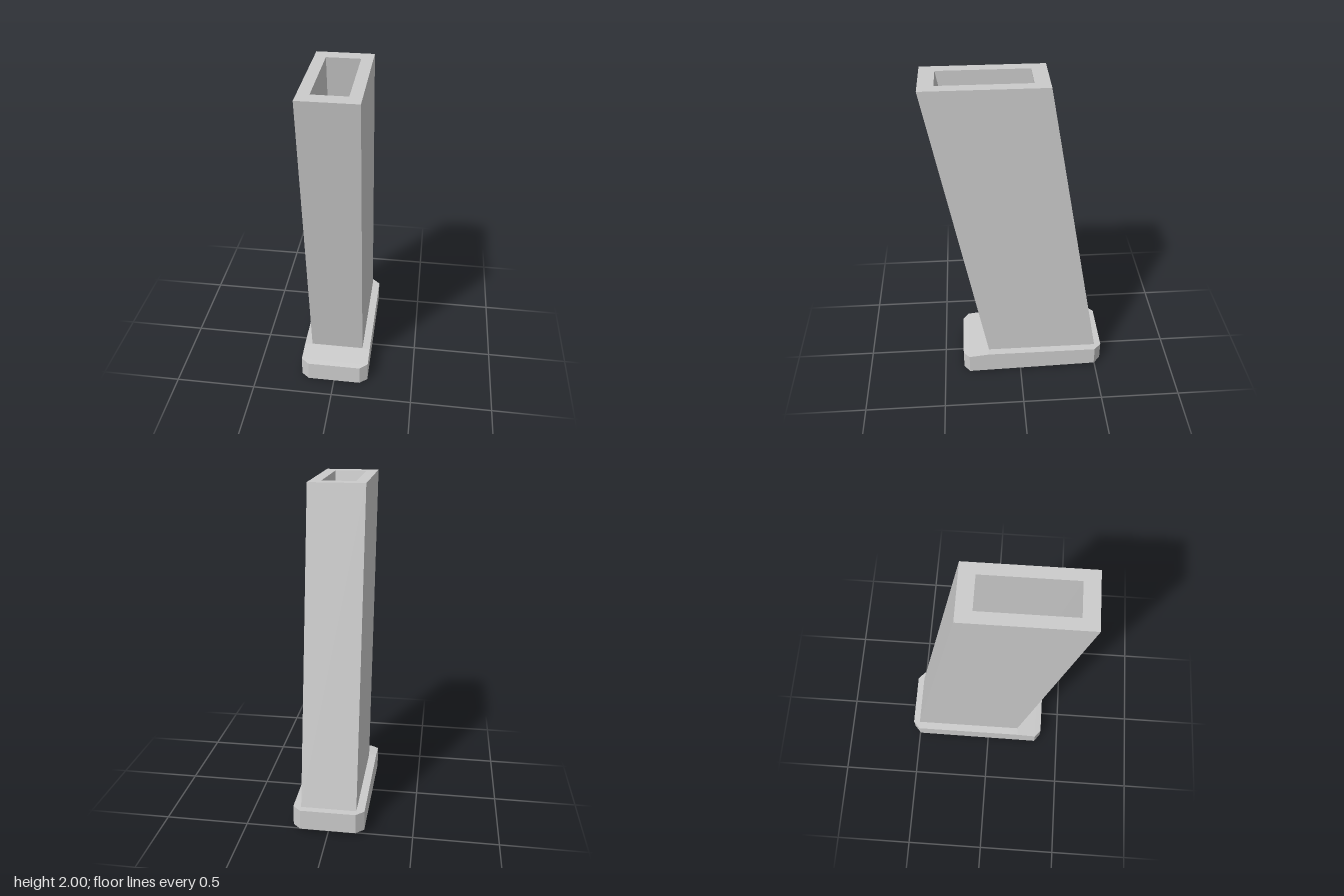
import * as THREE from 'three';

const material = new THREE.MeshStandardMaterial({ color: 0xcccccc, flatShading: true });

// Skins a sequence of four-cornered rings and caps both ends.
function loft(name, rings) {
  const positions = [];
  const quad = (a, b, c, d) => positions.push(...a, ...b, ...c, ...a, ...c, ...d);
  for (let r = 0; r < rings.length - 1; r++) {
    const lo = rings[r], hi = rings[r + 1];
    for (let i = 0; i < 4; i++) {
      const j = (i + 1) % 4;
      quad(lo[i], lo[j], hi[j], hi[i]);
    }
  }
  quad(...[...rings[0]].reverse());
  quad(...rings[rings.length - 1]);
  const geometry = new THREE.BufferGeometry();
  geometry.setAttribute('position', new THREE.Float32BufferAttribute(positions, 3));
  geometry.computeVertexNormals();
  const mesh = new THREE.Mesh(geometry, material);
  mesh.name = name;
  return mesh;
}

// Horizontal ring, leaning forward with height; back and front are z at the top.
const TOP = 2, SEAT = 0.145, LEAN = 0.331 / (TOP - SEAT);
function levelRing(y, halfWidth, back, front) {
  const shift = (y - TOP) * LEAN;
  return [[-1, front], [1, front], [1, back], [-1, back]]
    .map(([side, z]) => [side * halfWidth, y, z + shift]);
}

// Upright ring across the base plate.
const uprightRing = ([z, w, bottom, top]) =>
  [[-w, bottom, z], [w, bottom, z], [w, top, z], [-w, top, z]];

export function createModel() {
  const model = new THREE.Group();
  model.name = 'slantedHolder';

  // Slanted body: outer walls, rim, then down into the pocket to its floor.
  model.add(loft('body', [
    levelRing(SEAT, 0.165, -0.165, 0.538),
    levelRing(TOP, 0.165, -0.165, 0.538),
    levelRing(TOP, 0.098, -0.078, 0.45),
    levelRing(1.47, 0.098, -0.078, 0.45),
  ]));

  // Base plate with clipped corners, sloping toe and slightly tilted underside.
  model.add(loft('basePlate', [
    [-0.538, 0.165, 0.022, SEAT],
    [-0.493, 0.213, 0.021, SEAT],
    [0.21, 0.213, 0.004, SEAT],
    [0.337, 0.213, 0.001, 0.13],
    [0.375, 0.165, 0, 0.125],
  ].map(uprightRing)));

  return model;
}
